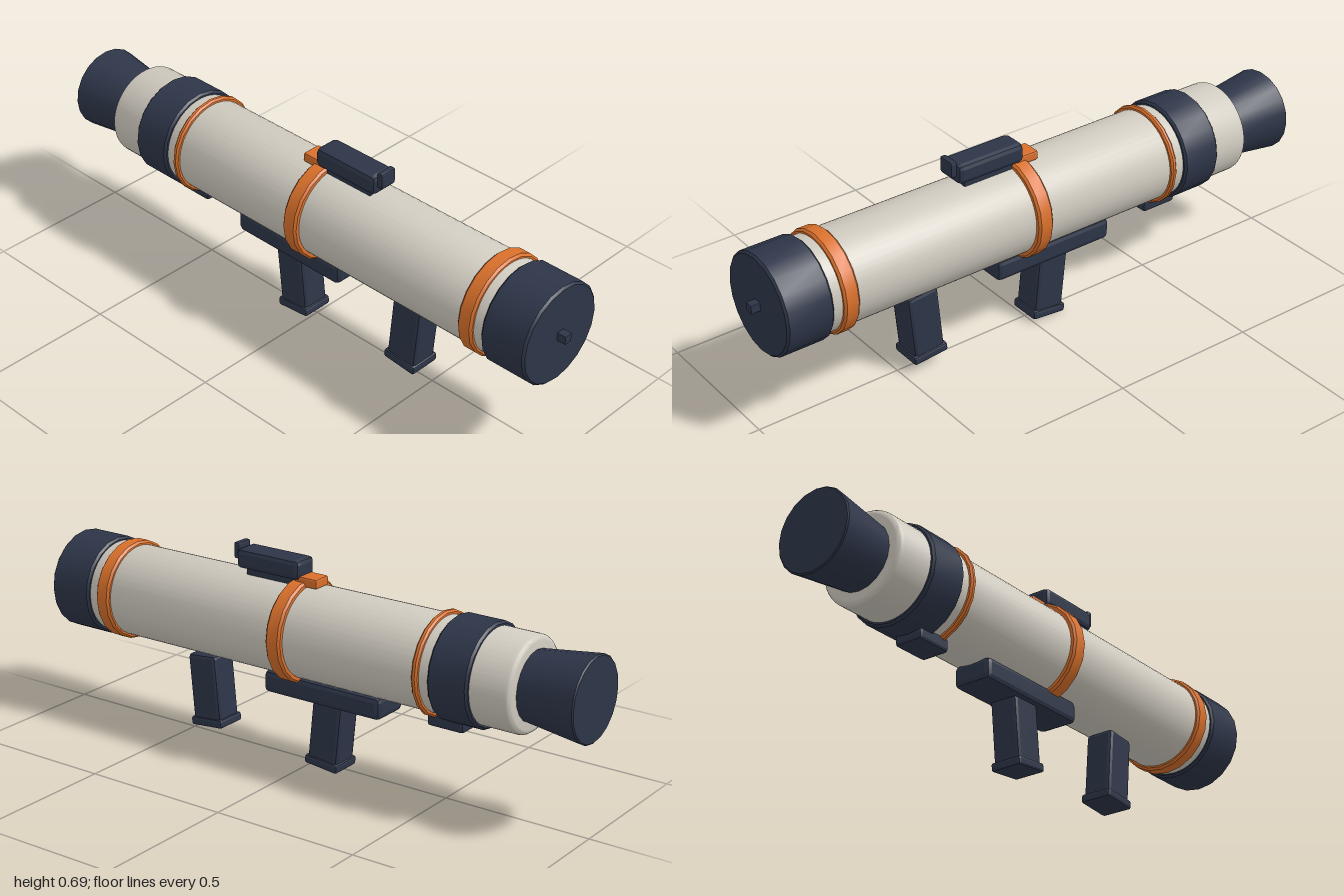
import * as THREE from 'three';
import { toCreasedNormals } from 'three/addons/utils/BufferGeometryUtils.js';
import { RoundedBoxGeometry } from 'three/addons/geometries/RoundedBoxGeometry.js';

const AXIS_Y = 0.447; // height of the tube's centre line

export function createModel() {
  const model = new THREE.Group();
  model.name = 'shoulderLauncher';

  const mat = (name, color) => {
    const m = new THREE.MeshStandardMaterial({ color });
    m.name = name;
    return m;
  };
  const navy = mat('darkNavy', 0x2d3548);
  const orange = mat('orange', 0xd9702b);
  const cream = mat('warmGrey', 0xd0cbc0);

  const add = (name, geometry, material, parent = model) => {
    const mesh = new THREE.Mesh(geometry, material);
    mesh.name = name;
    parent.add(mesh);
    return mesh;
  };

  // Closed round part along z, from z0 (back) to z1 (front), with bevelled rims
  const round = (name, material, z0, z1, r0, r1, bevel, sides = 20, steps = 1) => {
    const pts = [new THREE.Vector2(0, z0)];
    for (let i = 0; i <= steps; i++) {
      const a = (i / steps) * Math.PI / 2;
      pts.push(new THREE.Vector2(r0 - bevel + bevel * Math.sin(a), z0 + bevel - bevel * Math.cos(a)));
    }
    for (let i = 0; i <= steps; i++) {
      const a = (i / steps) * Math.PI / 2;
      pts.push(new THREE.Vector2(r1 - bevel + bevel * Math.cos(a), z1 - bevel + bevel * Math.sin(a)));
    }
    pts.push(new THREE.Vector2(0, z1));
    const g = new THREE.LatheGeometry(pts, sides).rotateX(Math.PI / 2);
    return add(name, toCreasedNormals(g, 0.6), material).position.setY(AXIS_Y);
  };

  // Box with chamfered edges
  const box = (name, material, w, h, d, bevel, x, y, z, parent = model) => {
    const g = toCreasedNormals(new RoundedBoxGeometry(w, h, d, 1, bevel), 0.3);
    const mesh = add(name, g, material, parent);
    mesh.position.set(x, y, z);
    return mesh;
  };

  // Tube, end caps and nozzle
  round('tube', cream, -0.8, 0.83, 0.153, 0.153, 0.018, 48, 4);
  round('muzzleCap', navy, 0.81, 0.97, 0.166, 0.166, 0.007);
  round('rearCollar', navy, -0.665, -0.525, 0.167, 0.167, 0.007);
  round('nozzle', navy, -1, -0.79, 0.137, 0.111, 0.004);
  box('muzzlePin', navy, 0.028, 0.028, 0.06, 0.001, 0, AXIS_Y, 0.97);

  // Orange bands
  round('frontBand', orange, 0.722, 0.776, 0.167, 0.167, 0.007);
  round('middleBand', orange, 0.015, 0.07, 0.172, 0.172, 0.007);
  round('rearBand', orange, -0.49, -0.469, 0.167, 0.167, 0.006);

  // Sight on top
  box('sightBody', navy, 0.09, 0.066, 0.245, 0.016, 0, 0.649, 0.157);
  box('sightMount', navy, 0.056, 0.04, 0.2, 0.004, 0, 0.61, 0.15);
  box('sightPost', navy, 0.06, 0.054, 0.022, 0.006, 0, 0.669, 0.288);
  box('sightClip', orange, 0.066, 0.032, 0.085, 0.006, 0, 0.615, 0.015);

  // Blocks under the tube
  box('triggerHousing', navy, 0.137, 0.074, 0.445, 0.016, 0, 0.268, -0.068);
  box('rearBlock', navy, 0.1, 0.045, 0.13, 0.01, 0, 0.277, -0.52);

  // Grips: tilted handle with a wider foot, hung from its top
  const grip = (name, topY, topZ, length, tilt) => {
    const g = new THREE.Group();
    g.name = name;
    g.position.set(0, topY, topZ);
    g.rotation.x = tilt;
    box(name + 'Handle', navy, 0.1, length, 0.112, 0.012, 0, -length / 2, 0, g);
    box(name + 'Foot', navy, 0.112, 0.03, 0.126, 0.008, 0, -length + 0.01, 0, g);
    model.add(g);
  };
  grip('frontGrip', 0.291, 0.427, 0.242, 0.09);
  grip('rearGrip', 0.26, -0.083, 0.243, -0.1);

  return model;
}
